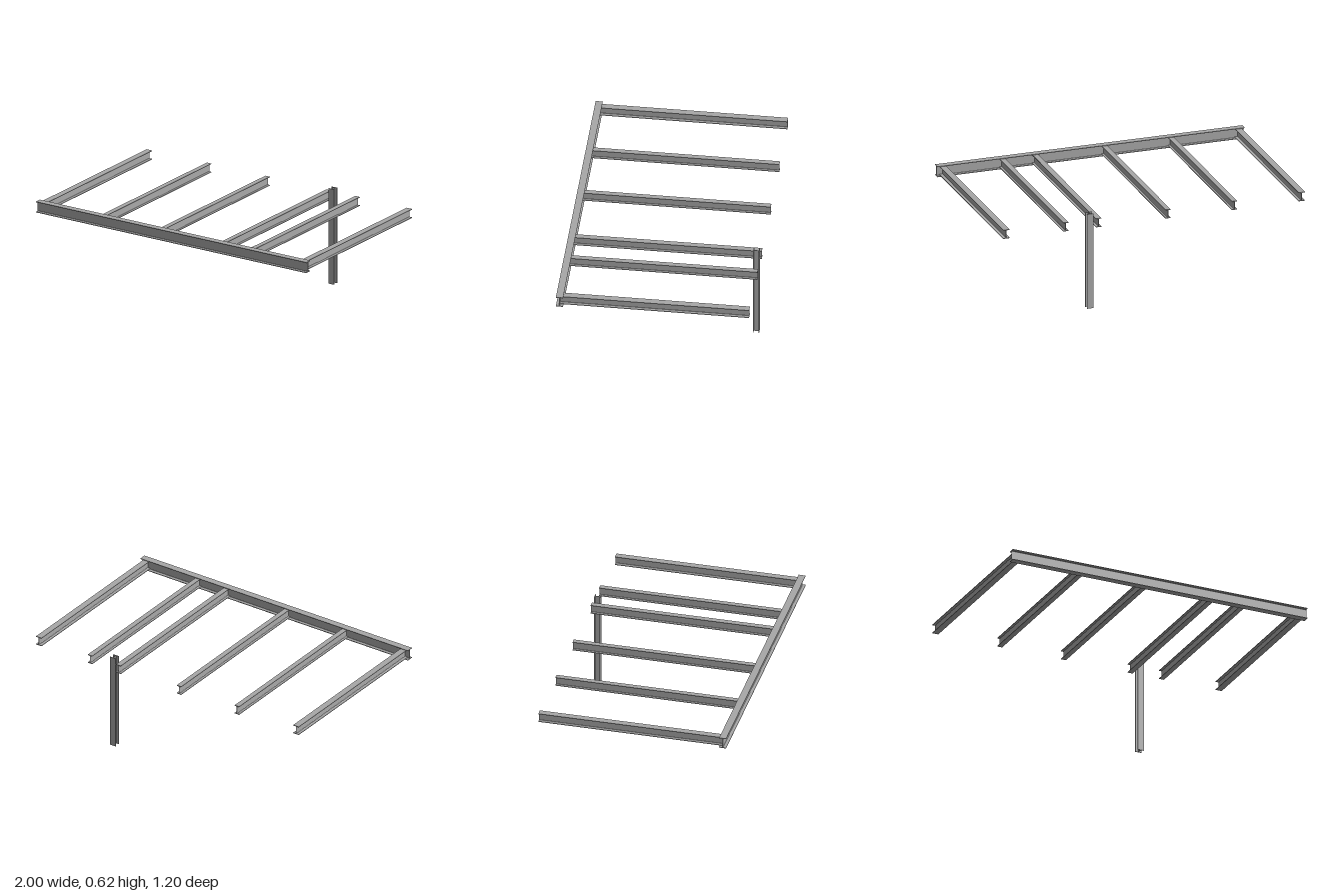
import * as THREE from 'three';

const steel = new THREE.MeshStandardMaterial({ color: 0xa8a8a8 });
steel.name = 'steel grey';

// I-section of width w and height h: flange thickness tf, web thickness tw, root fillet r
function iSection(w, h, tf, tw, r) {
  const a = w / 2, b = h / 2, t = tw / 2, c = b - tf;
  const s = new THREE.Shape();
  s.moveTo(-a, -b);
  s.lineTo(a, -b);
  s.lineTo(a, -c);
  s.lineTo(t + r, -c);
  s.quadraticCurveTo(t, -c, t, -c + r);
  s.lineTo(t, c - r);
  s.quadraticCurveTo(t, c, t + r, c);
  s.lineTo(a, c);
  s.lineTo(a, b);
  s.lineTo(-a, b);
  s.lineTo(-a, c);
  s.lineTo(-t - r, c);
  s.quadraticCurveTo(-t, c, -t, c - r);
  s.lineTo(-t, -c + r);
  s.quadraticCurveTo(-t, -c, -t - r, -c);
  s.lineTo(-a, -c);
  s.closePath();
  return s;
}

// Steel member extruded along z, centred on its own origin
function member(name, w, h, length, tf = 0.004, tw = 0.003) {
  const g = new THREE.ExtrudeGeometry(iSection(w, h, tf, tw, 0.003), {
    depth: length, bevelEnabled: false, curveSegments: 3,
  });
  g.translate(0, 0, -length / 2);
  const m = new THREE.Mesh(g, steel);
  m.name = name;
  return m;
}

export function createModel() {
  const model = new THREE.Group();
  model.name = 'steelFrame';

  // Long edge beam across the front
  const beam = member('frontBeam', 0.044, 0.07, 2);
  beam.rotation.y = Math.PI / 2;
  beam.position.set(0, 0.56, 0.576);
  model.add(beam);

  // Joists running back from the web of the beam: [x, width, back end]
  const front = 0.575;
  const joists = [
    [-0.963, 0.041, -0.594], [-0.524, 0.033, -0.598], [-0.091, 0.033, -0.598],
    [0.361, 0.035, -0.598], [0.574, 0.033, -0.598], [0.96, 0.041, -0.594],
  ];
  joists.forEach(([x, w, back], i) => {
    const j = member('joist' + (i + 1), w, 0.058, front - back);
    j.position.set(x, 0.56, (front + back) / 2);
    model.add(j);
  });

  // Single upright column at the back, flanges facing front and back
  const column = member('column', 0.042, 0.039, 0.62);
  column.rotation.x = -Math.PI / 2;
  column.position.set(0.411, 0.31, -0.569);
  model.add(column);

  return model;
}
